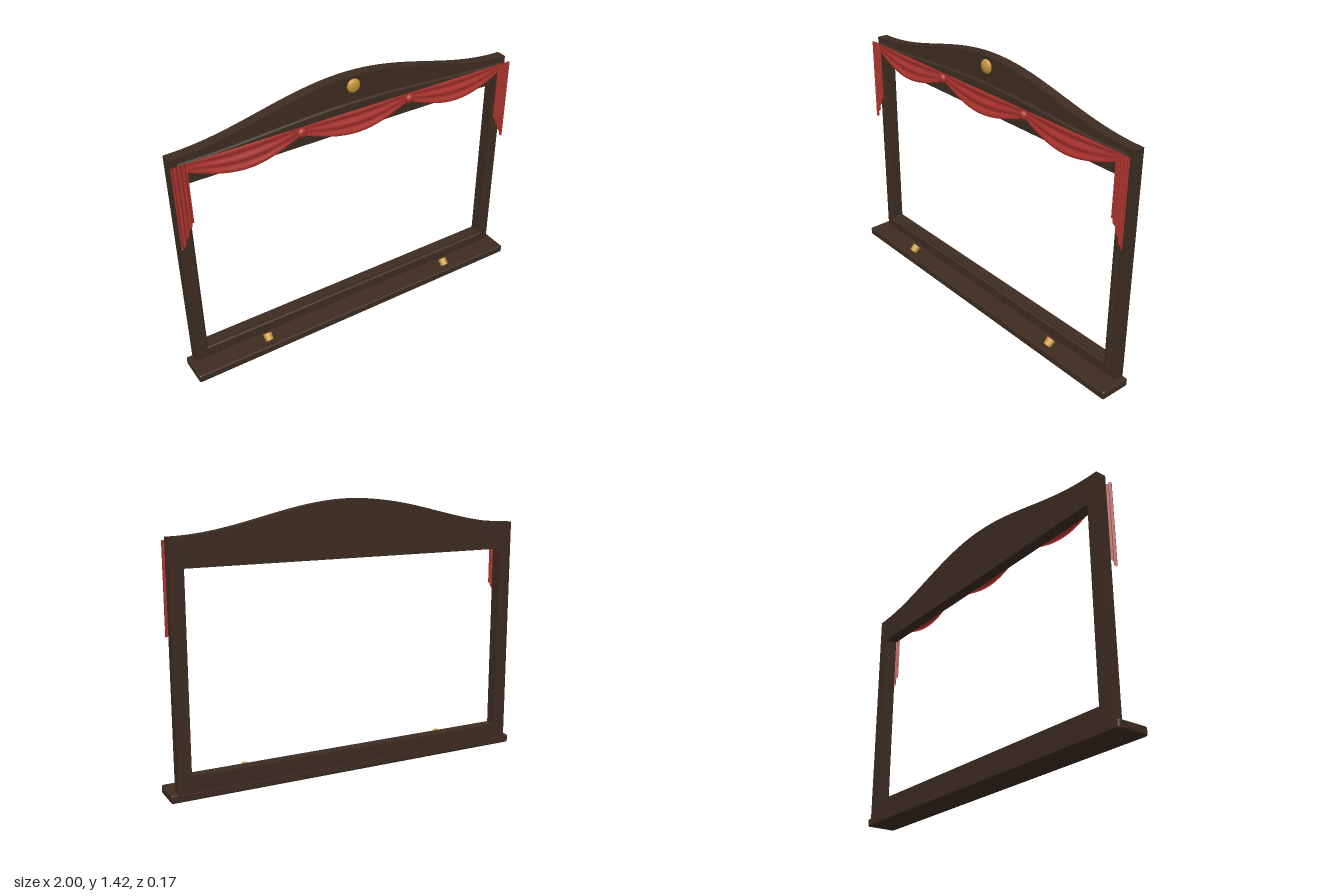
import * as THREE from 'three';
import { RoundedBoxGeometry } from 'three/addons/geometries/RoundedBoxGeometry.js';

export function createModel() {
  const group = new THREE.Group();
  const material = (name, color, side = THREE.FrontSide) => {
    const m = new THREE.MeshStandardMaterial({ color, side });
    m.name = name;
    return m;
  };
  const wood = material('dark wood', 0x3d2c21);
  const cloth = material('red cloth', 0xa8322d, THREE.DoubleSide);
  const brass = material('brass', 0xc9973a);

  const add = (name, geometry, mat, x = 0, y = 0, z = 0) => {
    const mesh = new THREE.Mesh(geometry, mat);
    mesh.name = name;
    mesh.position.set(x, y, z);
    group.add(mesh);
    return mesh;
  };

  // Upright outline with an arched top and a rectangular opening
  const archedFrame = (halfWidth, bottom, shoulder, rise, hole) => {
    const shape = new THREE.Shape();
    shape.moveTo(-halfWidth, bottom);
    shape.lineTo(halfWidth, bottom);
    for (let i = 0; i <= 40; i++) {
      const x = halfWidth * (1 - i / 20);
      shape.lineTo(x, shoulder + rise * 0.5 * (1 + Math.cos(Math.PI * x / halfWidth)));
    }
    shape.closePath();
    const [w, low, high] = hole;
    const opening = new THREE.Path();
    opening.moveTo(-w, low);
    opening.lineTo(-w, high);
    opening.lineTo(w, high);
    opening.lineTo(w, low);
    opening.closePath();
    shape.holes.push(opening);
    return shape;
  };

  // Base shelf
  add('base', new RoundedBoxGeometry(2, 0.045, 0.17, 3, 0.01), wood, 0, 0.0225, 0);

  // Main frame with its curved header
  add('frame', new THREE.ExtrudeGeometry(
    archedFrame(0.965, 0.04, 1.275, 0.15, [0.895, 0.125, 1.13]),
    { depth: 0.058, bevelEnabled: false }), wood, 0, 0, -0.086);

  // Raised moulding around the opening
  add('moulding', new THREE.ExtrudeGeometry(
    archedFrame(0.924, 0.086, 1.245, 0.04, [0.906, 0.114, 1.141]),
    { depth: 0.01, bevelEnabled: true, bevelThickness: 0.006, bevelSize: 0.006, bevelSegments: 1 }),
  wood, 0, 0, -0.028);

  // Bends a flat sheet: rule receives u (left to right) and v (top to bottom)
  const sheet = (columns, rows, rule) => {
    const geometry = new THREE.PlaneGeometry(1, 1, columns, rows);
    const p = geometry.attributes.position;
    for (let i = 0; i < p.count; i++) {
      p.setXYZ(i, ...rule(p.getX(i) + 0.5, 0.5 - p.getY(i)));
    }
    geometry.computeVertexNormals();
    return geometry;
  };

  // Valance: three hanging swags
  const stops = [-0.9, -0.31, 0.31, 0.9];
  for (let s = 0; s < 3; s++) {
    add('swag', sheet(32, 24, (u, v) => {
      const sag = Math.sin(Math.PI * u);
      const x = THREE.MathUtils.lerp(stops[s], stops[s + 1], u);
      const y = 1.255 - v * (0.045 + 0.07 * sag);
      const z = 0.002 + 0.022 * v * sag + 0.004 * sag * Math.sin(v * Math.PI * 5);
      return [x, y, z];
    }), cloth);
  }

  // Knots between the swags
  for (const x of [-0.31, 0.31]) {
    add('knot', new THREE.SphereGeometry(0.025, 16, 12), cloth, x, 1.23, 0.013).scale.z = 0.7;
  }

  for (const side of [-1, 1]) {
    // Pleated side drape with a slanted hem
    add('sideDrape', sheet(32, 6, (u, v) => {
      const hem = 0.8 + 0.13 * THREE.MathUtils.clamp((u - 0.15) / 0.75, 0, 1);
      return [
        side * (0.97 - 0.078 * u),
        THREE.MathUtils.lerp(1.257, hem, v),
        0.006 + 0.005 * Math.sin(u * Math.PI * 8),
      ];
    }), cloth);

    // Small spotlight tilted back toward the opening
    const lamp = add('footlight', new THREE.CylinderGeometry(0.024, 0.021, 0.04, 16), brass,
      side * 0.58, 0.076, 0.045);
    lamp.rotation.x = -0.87;
  }

  // Round boss on the header
  add('headerBoss', new THREE.SphereGeometry(0.037, 12, 10), brass, 0, 1.375, -0.022).scale.z = 0.45;

  return group;
}
